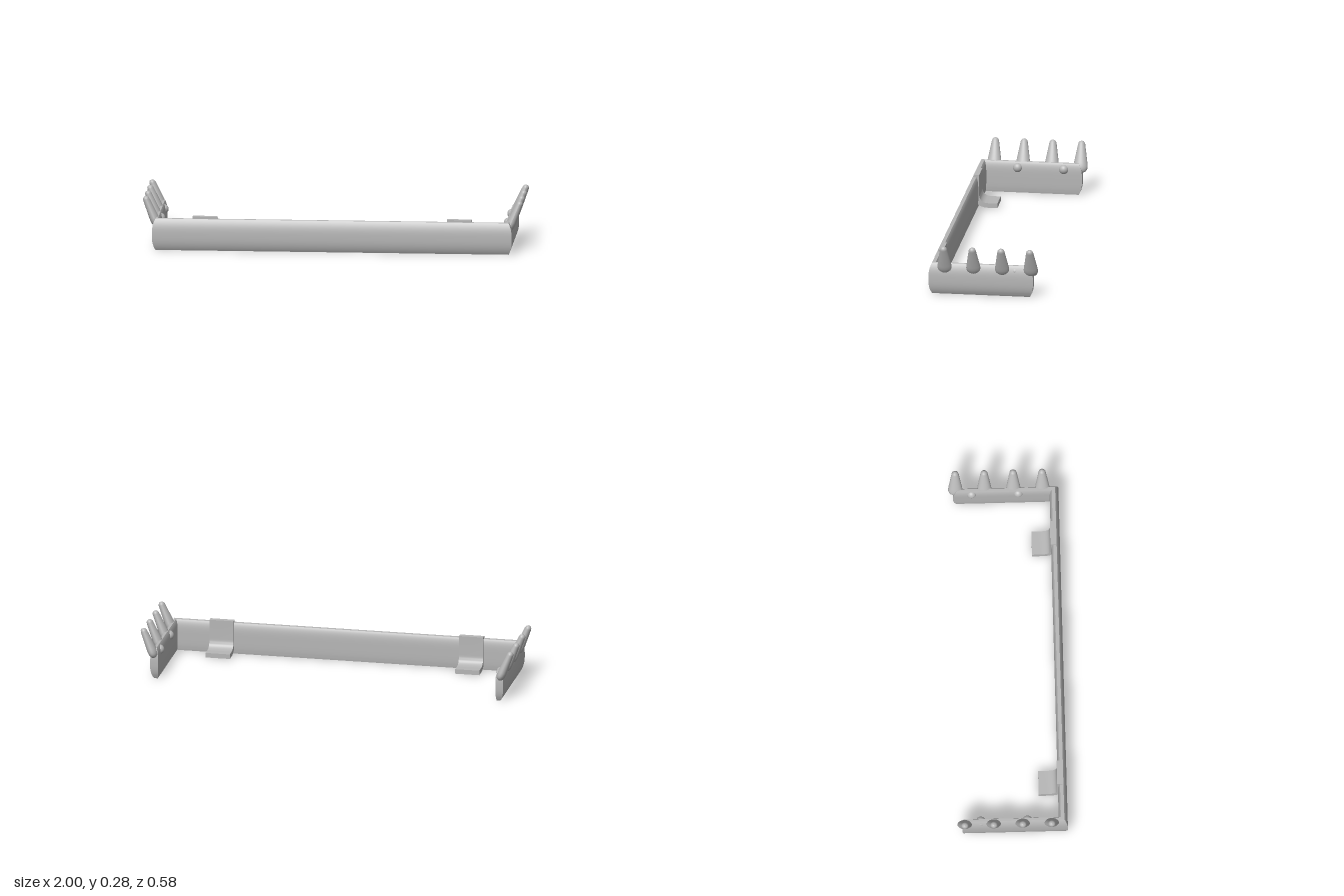
import * as THREE from 'three';
import { toCreasedNormals } from 'three/addons/utils/BufferGeometryUtils.js';

const HEIGHT = 0.168;

// U-shaped guard lofted from horizontal outlines: bulged outside, tapering to a thin top rim
function guardGeometry(rows = 18) {
  const outlines = [];
  for (let i = 0; i <= rows; i++) {
    const t = -Math.cos((i / rows) * Math.PI);
    const y = (HEIGHT * (t + 1)) / 2;
    const b = 0.018 * (1 - Math.abs(t) ** 2.8);
    const c = (t > 0 ? 0.011 : 0.004) * t ** 4;
    const ox = 0.93 + b, front = 0.274 + b, back = -0.245 - b;
    const ix = 0.906 + c, inner = 0.245 + c;
    outlines.push([
      [-ox, back], [-ox, front], [ox, front], [ox, back],
      [ix, back], [ix, inner], [-ix, inner], [-ix, back],
    ].map(([x, z]) => [x, y, z]));
  }
  const pos = [];
  const quad = (a, b, c, d) => pos.push(...a, ...b, ...c, ...a, ...c, ...d);
  for (let i = 0; i < rows; i++) {
    const lo = outlines[i], hi = outlines[i + 1];
    for (let k = 0; k < 8; k++) {
      const n = (k + 1) % 8;
      quad(lo[k], lo[n], hi[n], hi[k]);
    }
  }
  // flat top and bottom rims
  const bottom = outlines[0], top = outlines[rows];
  for (let k = 0; k < 3; k++) {
    quad(top[k], top[k + 1], top[6 - k], top[7 - k]);
    quad(bottom[7 - k], bottom[6 - k], bottom[k + 1], bottom[k]);
  }
  const geo = new THREE.BufferGeometry();
  geo.setAttribute('position', new THREE.Float32BufferAttribute(pos, 3));
  return toCreasedNormals(geo, 0.6);
}

// Blunt spike, flattened towards its rounded root
function spikeGeometry() {
  const profile = [
    [0, -0.033], [0.018, -0.031], [0.031, -0.023], [0.037, -0.01], [0.038, 0.002],
    [0.036, 0.018], [0.019, 0.119], [0.016, 0.128], [0.01, 0.134], [0, 0.137],
  ].map(([r, y]) => new THREE.Vector2(r, y));
  const geo = new THREE.LatheGeometry(profile, 28);
  const p = geo.attributes.position;
  for (let i = 0; i < p.count; i++) {
    const k = THREE.MathUtils.clamp(p.getY(i) / 0.12, 0, 1);
    p.setX(i, p.getX(i) * (0.62 + 0.3 * k));
  }
  geo.computeVertexNormals();
  return geo;
}

// Curved bracket: upright plate bending into a horizontal foot
function clipGeometry(width) {
  const s = new THREE.Shape();
  s.moveTo(0.27, 0.18);
  s.lineTo(0.241, 0.18);
  s.lineTo(0.241, 0.078);
  s.quadraticCurveTo(0.241, 0.028, 0.191, 0.028);
  s.lineTo(0.144, 0.028);
  s.lineTo(0.144, 0.003);
  s.lineTo(0.191, 0.003);
  s.quadraticCurveTo(0.27, 0.003, 0.27, 0.078);
  const geo = new THREE.ExtrudeGeometry(s, { depth: width, bevelEnabled: false, curveSegments: 10 });
  geo.translate(0, 0, -width / 2);
  geo.rotateY(-Math.PI / 2);
  return toCreasedNormals(geo, 0.6);
}

export function createModel() {
  const model = new THREE.Group();
  model.name = 'spikedGuard';
  const grey = new THREE.MeshStandardMaterial({ color: 0xb6b6b6 });
  grey.name = 'lightGrey';

  const add = (name, geometry, x, y, z) => {
    const mesh = new THREE.Mesh(geometry, grey);
    mesh.name = name;
    mesh.position.set(x, y, z);
    model.add(mesh);
    return mesh;
  };

  add('guard', guardGeometry(), 0, 0, 0);

  const spike = spikeGeometry();
  const clip = clipGeometry(0.13);
  const stud = new THREE.SphereGeometry(0.026, 24, 16);

  for (const side of [1, -1]) {
    const label = side > 0 ? 'left' : 'right';
    add(label + 'Clip', clip, side * 0.67, 0, 0);
    // spikes lean outwards along each side wall
    for (let i = 0; i < 4; i++) {
      const m = add(label + 'Spike' + (i + 1), spike, side * 0.937, 0.148, 0.207 - i * 0.1525);
      m.rotation.z = -side * 0.4;
    }
    // round studs on the inner wall
    for (const z of [0.08, -0.165]) add(label + 'Stud', stud, side * 0.918, 0.135, z);
  }
  return model;
}
